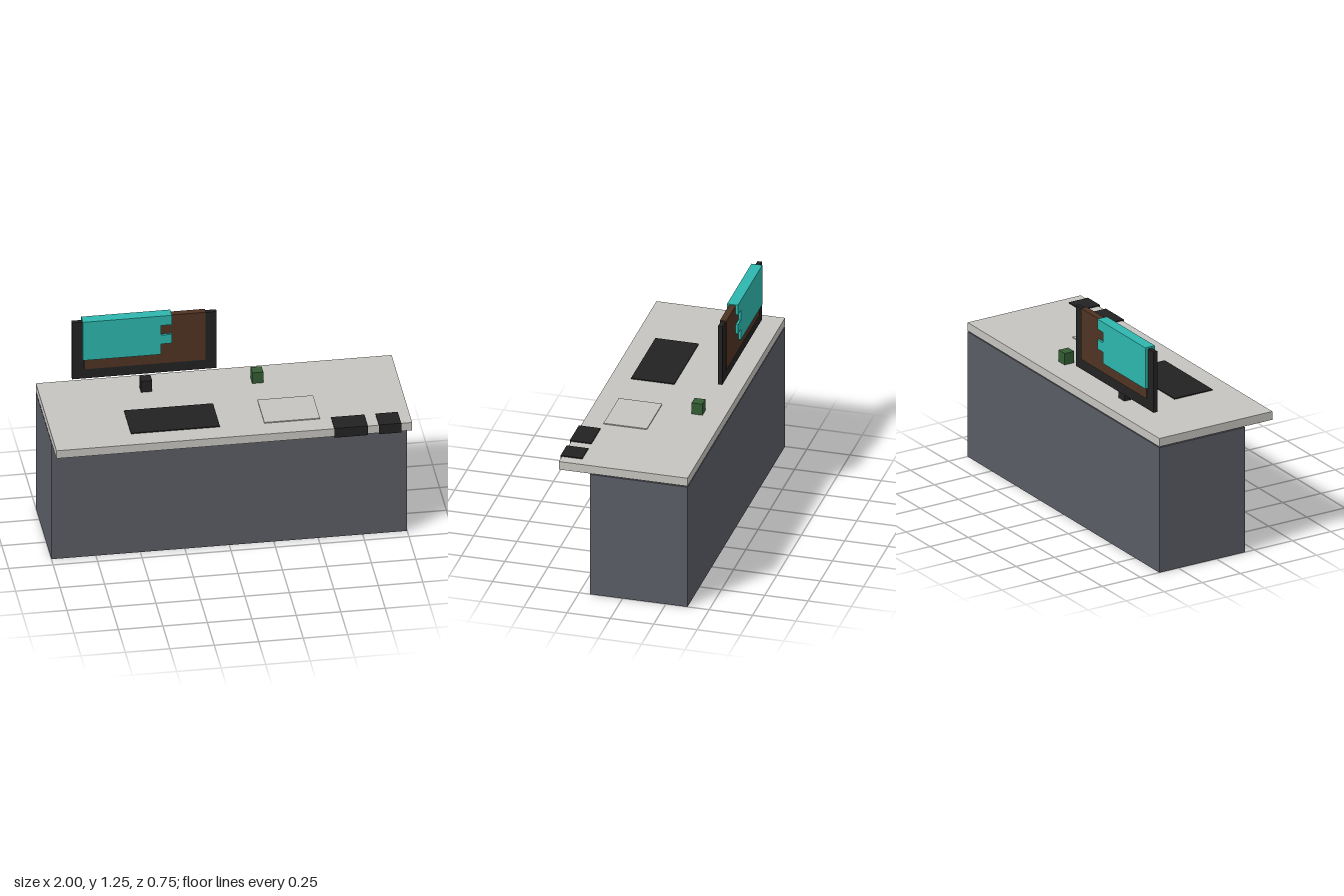
import * as THREE from 'three';

const mat = (name, color) => {
  const m = new THREE.MeshStandardMaterial({ color });
  m.name = name;
  return m;
};

export function createModel() {
  const slate = mat('slate grey', 0x595c64);
  const stone = mat('pale stone', 0xc6c4bf);
  const black = mat('black', 0x222222);
  const teal = mat('teal', 0x2db6ad);
  const brown = mat('brown', 0x4f3322);
  const green = mat('dark green', 0x335c33);

  const desk = new THREE.Group();
  desk.name = 'desk';

  // Box given by its extents along each axis
  const box = (name, material, [x0, x1], [y0, y1], [z0, z1]) => {
    const mesh = new THREE.Mesh(new THREE.BoxGeometry(x1 - x0, y1 - y0, z1 - z0), material);
    mesh.position.set((x0 + x1) / 2, (y0 + y1) / 2, (z0 + z1) / 2);
    mesh.name = name;
    desk.add(mesh);
  };

  // Cabinet and overhanging worktop
  box('cabinet', slate, [-1, 1], [0, 0.75], [-0.375, 0.1875]);
  box('worktop', stone, [-1, 1], [0.756, 0.806], [-0.375, 0.367]);

  // Flat items let into the worktop
  const slab = [0.752, 0.812];
  box('keyboard', black, [-0.5625, -0.0625], slab, [0, 0.25]);
  box('paperPad', stone, [0.1875, 0.5], slab, [0, 0.25]);
  box('largeTray', black, [0.5625, 0.75], slab, [0.25, 0.375]);
  box('smallTray', black, [0.8125, 0.9375], slab, [0.25, 0.375]);

  // Small cubes standing at the back
  box('monitorStand', black, [-0.4375, -0.375], [0.752, 0.877], [-0.25, -0.1875]);
  box('cup', green, [0.1875, 0.25], [0.752, 0.875], [-0.25, -0.1875]);

  // Monitor with the two layers of its picture, seen from both sides
  box('monitorFrame', black, [-0.8125, 0], [0.877, 1.241], [-0.294, -0.269]);
  box('screenGround', brown, [-0.745, -0.0625], [0.939, 1.246], [-0.3, -0.263]);

  // Sky panel with a stepped right edge
  const steps = [[-0.255, 1.251], [-0.255, 1.19], [-0.315, 1.19], [-0.315, 1.128],
    [-0.255, 1.128], [-0.255, 1.071], [-0.315, 1.071], [-0.315, 1.004]];
  const outline = [[-0.755, 1.004], [-0.755, 1.251], ...steps];
  const sky = new THREE.Mesh(
    new THREE.ExtrudeGeometry(new THREE.Shape(outline.map(([x, y]) => new THREE.Vector2(x, y))),
      { depth: 0.063, bevelEnabled: false }), teal);
  sky.position.z = -0.313;
  sky.name = 'screenSky';
  desk.add(sky);

  return desk;
}
